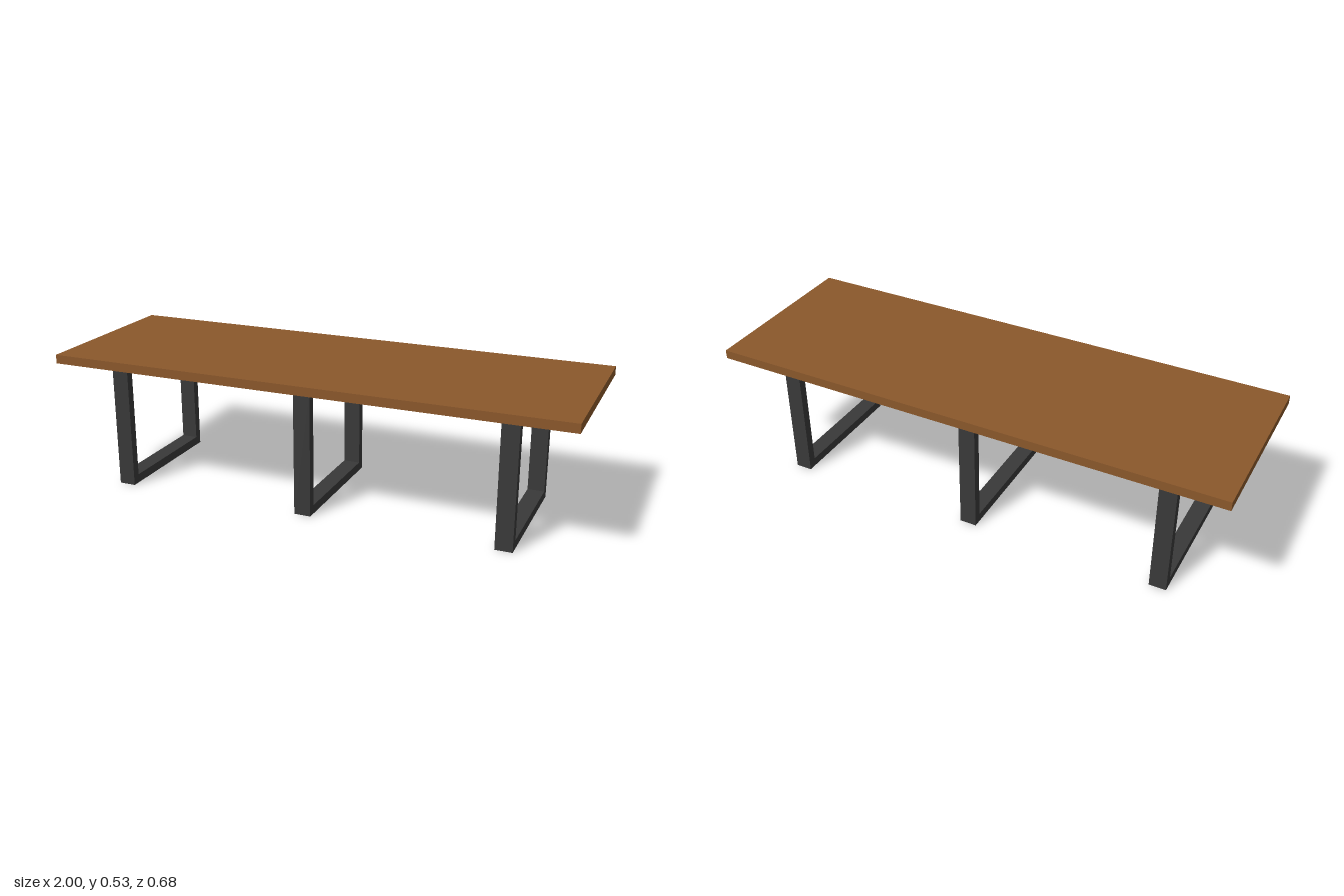
import * as THREE from 'three';

export function createModel() {
  const model = new THREE.Group();
  model.name = 'table';

  const wood = new THREE.MeshStandardMaterial({ color: 0x8b582b });
  wood.name = 'brown wood';
  const steel = new THREE.MeshStandardMaterial({ color: 0x393939 });
  steel.name = 'charcoal steel';

  // Rectangular slab top
  const top = new THREE.Mesh(new THREE.BoxGeometry(2, 0.034, 0.684), wood);
  top.name = 'tableTop';
  top.position.y = 0.512;
  model.add(top);

  // Leg frame: closed rectangle with a rectangular opening, drawn in z-y
  const halfDepth = 0.262, height = 0.494, width = 0.065;
  const outline = new THREE.Shape([
    new THREE.Vector2(-halfDepth, 0),
    new THREE.Vector2(halfDepth, 0),
    new THREE.Vector2(halfDepth, height),
    new THREE.Vector2(-halfDepth, height),
  ]);
  outline.holes.push(new THREE.Path([
    new THREE.Vector2(-0.23, 0.034),
    new THREE.Vector2(-0.23, 0.456),
    new THREE.Vector2(0.23, 0.456),
    new THREE.Vector2(0.23, 0.034),
  ]));
  const frame = new THREE.ExtrudeGeometry(outline, { depth: width, bevelEnabled: false });
  frame.translate(0, 0, -width / 2);
  frame.rotateY(Math.PI / 2);

  // Three evenly spaced frames
  const names = ['rightLegFrame', 'middleLegFrame', 'leftLegFrame'];
  names.forEach((name, i) => {
    const leg = new THREE.Mesh(frame, steel);
    leg.name = name;
    leg.position.x = -0.005 + (i - 1) * 0.764;
    model.add(leg);
  });

  return model;
}
